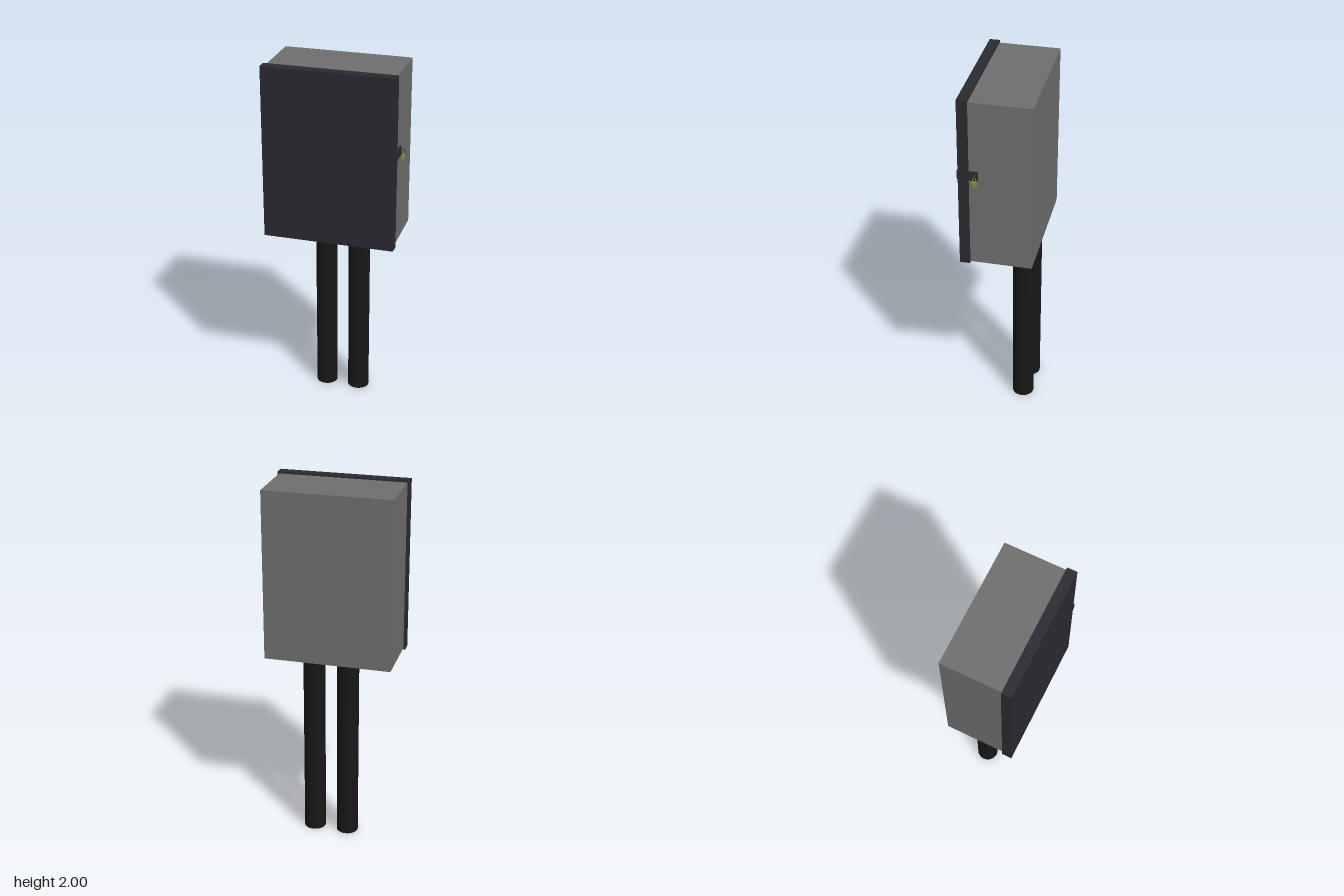
import * as THREE from 'three';

const material = (color) => new THREE.MeshStandardMaterial({ color });

export function createModel() {
  const model = new THREE.Group();
  const grey = material(0x6e6e6e);
  const dark = material(0x2a2930);
  const black = material(0x171717);
  const brass = material(0x8c8c3a);

  const add = (name, geometry, mat, x = 0, y = 0, z = 0, parent = model) => {
    const mesh = new THREE.Mesh(geometry, mat);
    mesh.name = name;
    mesh.position.set(x, y, z);
    parent.add(mesh);
    return mesh;
  };
  // Box given by its lower and upper corners
  const addBox = (name, [x0, y0, z0], [x1, y1, z1], mat, parent = model) =>
    add(name, new THREE.BoxGeometry(x1 - x0, y1 - y0, z1 - z0), mat,
      (x0 + x1) / 2, (y0 + y1) / 2, (z0 + z1) / 2, parent);

  // Cabinet and its slightly larger door
  addBox('cabinet', [-0.363, 1.054, -0.194], [0.333, 1.99, 0.135], grey);
  addBox('door', [-0.374, 1.046, 0.135], [0.342, 2, 0.19], dark);

  // Two conduits from the ground to the cabinet floor
  for (const [name, x] of [['rightConduit', -0.11], ['leftConduit', 0.079]]) {
    add(name, new THREE.CylinderGeometry(0.06, 0.06, 1.056, 32), black, x, 0.528, -0.101);
  }

  // Hasp plate with a slot for the staple
  const outline = new THREE.Shape([[-0.192, 1.56], [-0.085, 1.56], [-0.085, 1.61], [-0.192, 1.61]]
    .map(([a, b]) => new THREE.Vector2(a, b)));
  outline.holes.push(new THREE.Path([[-0.102, 1.567], [-0.102, 1.603], [-0.096, 1.603], [-0.096, 1.567]]
    .map(([a, b]) => new THREE.Vector2(a, b))));
  const plate = new THREE.ExtrudeGeometry(outline, { depth: 0.009, bevelEnabled: false });
  plate.rotateY(Math.PI / 2);
  add('haspPlate', plate, dark, 0.342);

  // U-shaped path swept as a round bar: two straight legs joined by a half circle
  const bar = (origin, across, along, halfWidth, length, radius) => {
    const path = new THREE.CurvePath();
    const point = (a, b) => origin.clone().addScaledVector(across, a).addScaledVector(along, b);
    const arc = Array.from({ length: 9 }, (_, i) => {
      const t = Math.PI * i / 8;
      return point(-halfWidth * Math.cos(t), length + halfWidth * Math.sin(t));
    });
    path.add(new THREE.LineCurve3(point(-halfWidth, 0), arc[0]));
    path.add(new THREE.CatmullRomCurve3(arc));
    path.add(new THREE.LineCurve3(arc[8], point(halfWidth, 0)));
    return new THREE.TubeGeometry(path, 32, radius, 8);
  };
  const X = new THREE.Vector3(1, 0, 0);
  const Y = new THREE.Vector3(0, 1, 0);
  const Z = new THREE.Vector3(0, 0, 1);

  // Staple fixed to the cabinet side, passing through the hasp
  add('staple', bar(new THREE.Vector3(0.33, 1.585, 0.099), Y, X, 0.012, 0.027, 0.0025), dark);

  // Padlock hanging from the staple
  const padlock = new THREE.Group();
  padlock.name = 'padlock';
  model.add(padlock);
  addBox('padlockBody', [0.357, 1.535, 0.086], [0.371, 1.562, 0.112], brass, padlock);
  add('padlockShackle', bar(new THREE.Vector3(0.364, 1.56, 0.099), Z, Y, 0.009, 0.013, 0.0025),
    brass, 0, 0, 0, padlock);

  return model;
}
